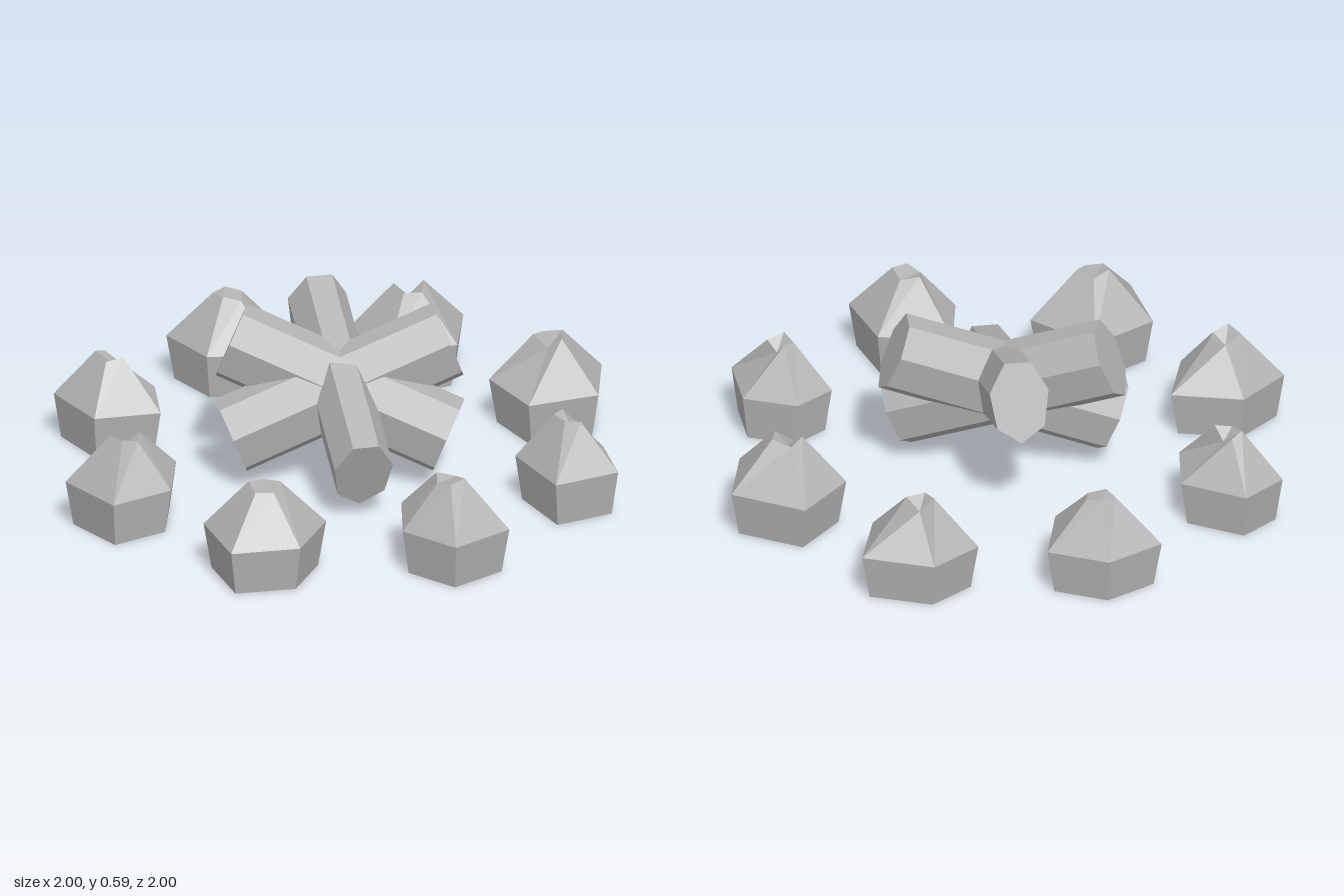
import * as THREE from 'three';

const grey = new THREE.MeshStandardMaterial({ color: 0xb4b4b4, flatShading: true });
grey.name = 'stoneGrey';

// Widest outline of each stone as five x, z corners, then the dented crown corner (-1 for none)
const stones = [
  { outline: [-0.11, -0.97, 0.14, -1, 0.19, -0.77, -0.01, -0.62, -0.2, -0.79], dent: 0 },
  { outline: [0.43, -0.78, 0.7, -0.77, 0.76, -0.54, 0.56, -0.39, 0.37, -0.55], dent: 3 },
  { outline: [0.7, -0.15, 0.89, -0.17, 1, 0.01, 0.83, 0.17, 0.63, -0.01], dent: 1 },
  { outline: [0.61, 0.37, 0.78, 0.54, 0.65, 0.73, 0.44, 0.66, 0.37, 0.45], dent: -1 },
  { outline: [-0.09, 0.59, 0.17, 0.66, 0.15, 0.89, -0.06, 1, -0.22, 0.8], dent: -1 },
  { outline: [-0.69, 0.43, -0.45, 0.37, -0.4, 0.59, -0.55, 0.76, -0.76, 0.63], dent: 0 },
  { outline: [-0.93, -0.17, -0.69, -0.16, -0.61, 0.03, -0.81, 0.14, -1, -0.01], dent: 1 },
  { outline: [-0.65, -0.73, -0.43, -0.74, -0.37, -0.51, -0.59, -0.43, -0.77, -0.55], dent: -1 },
];

// Faceted stone: base, belly and crown rings, with flat caps
function stoneGeometry({ outline, dent }) {
  const n = 5;
  let cx = 0, cz = 0;
  for (let i = 0; i < n; i++) {
    cx += outline[2 * i] / n;
    cz += outline[2 * i + 1] / n;
  }
  const position = [], index = [];
  const levels = [[0, 0.87], [0.16, 1], [0.325, 0.26]];
  levels.forEach(([y, s], level) => {
    for (let i = 0; i < n; i++) {
      const dented = level === 2 && i === dent;
      const scale = dented ? 0.08 : s;
      const height = dented ? y - 0.04 : y + (level === 2 ? 0.01 * Math.sin(i * 2 + cx * 9) : 0);
      position.push(cx + (outline[2 * i] - cx) * scale, height, cz + (outline[2 * i + 1] - cz) * scale);
    }
  });
  for (let level = 0; level < 2; level++) {
    for (let i = 0; i < n; i++) {
      const j = (i + 1) % n;
      const a = level * n + i, b = level * n + j;
      index.push(b, a, a + n, b, a + n, b + n);
    }
  }
  const start = Math.max(dent, 0);
  for (let k = 1; k < n - 1; k++) {
    const p = (start + k) % n, q = (start + k + 1) % n;
    index.push(start, p, q);
    index.push(2 * n + start, 2 * n + q, 2 * n + p);
  }
  const geometry = new THREE.BufferGeometry();
  geometry.setAttribute('position', new THREE.Float32BufferAttribute(position, 3));
  geometry.setIndex(index);
  const flat = geometry.toNonIndexed();
  flat.computeVertexNormals();
  return flat;
}

export function createModel() {
  const model = new THREE.Group();
  model.name = 'campfire';

  // Ring of stones
  const ring = new THREE.Group();
  ring.name = 'stoneRing';
  stones.forEach((stone, i) => {
    const mesh = new THREE.Mesh(stoneGeometry(stone), grey);
    mesh.name = `stone${i + 1}`;
    ring.add(mesh);
  });
  model.add(ring);

  // Three seven-sided logs, taller than wide, leaning across each other
  const logs = new THREE.Group();
  logs.name = 'logs';
  [29.5, -62, 97].forEach((yaw, i) => {
    const geometry = new THREE.CylinderGeometry(1, 1, 0.8, 7);
    geometry.rotateX(Math.PI / 2);
    geometry.scale(0.103, 0.145, 1);
    geometry.rotateX(THREE.MathUtils.degToRad(21.5));
    geometry.rotateY(THREE.MathUtils.degToRad(yaw));
    const log = new THREE.Mesh(geometry, grey);
    log.name = `log${i + 1}`;
    log.position.set(0.01, 0.325, -0.01);
    logs.add(log);
  });
  model.add(logs);
  return model;
}
